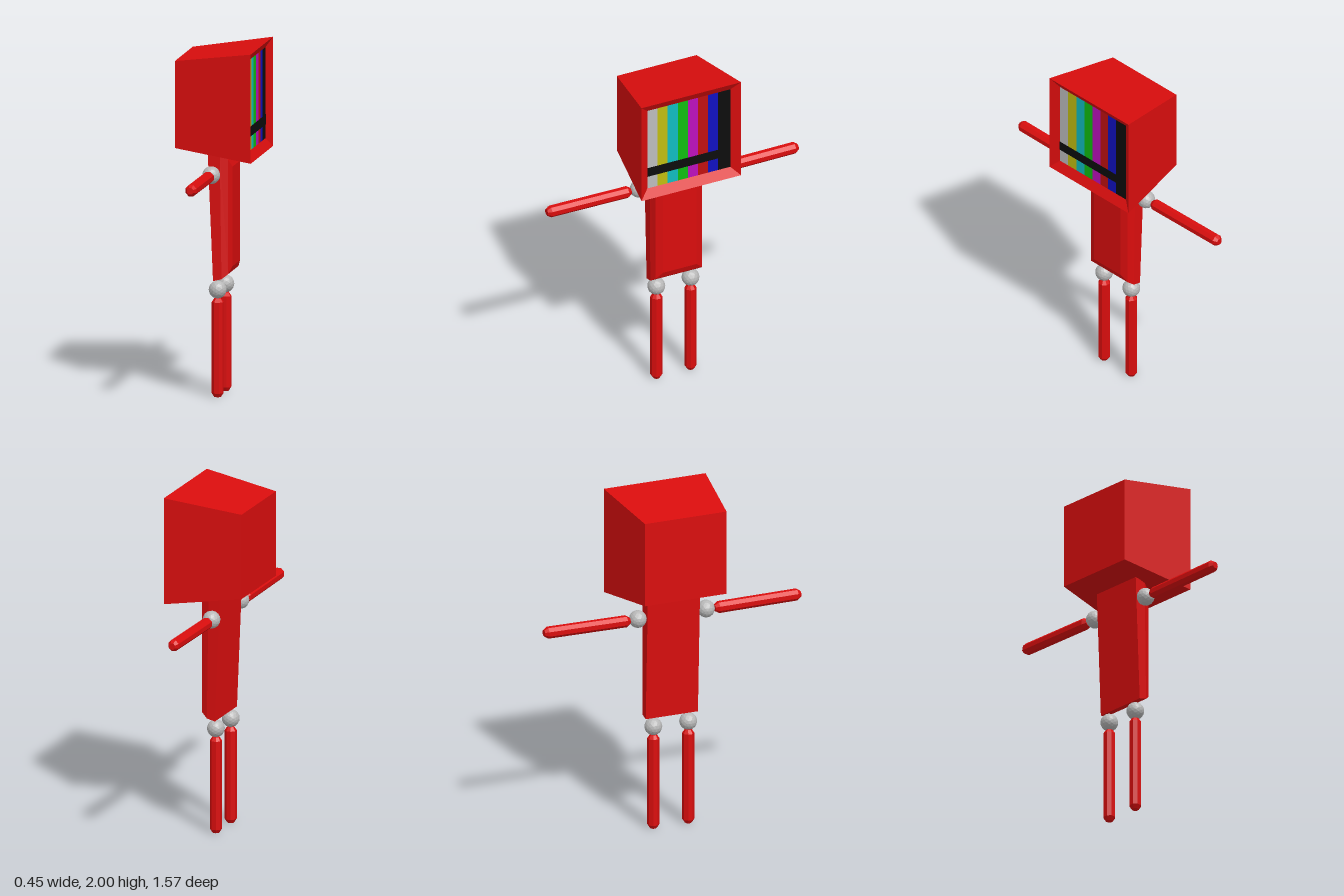
import * as THREE from 'three';

const paint = (name, color) => {
  const m = new THREE.MeshStandardMaterial({ color, flatShading: true });
  m.name = name;
  return m;
};

// Skin over four-cornered rings [xBottom, yBottom, xTop, yTop, halfWidth], ordered along the path
function loft(rings, capEnd) {
  const loops = rings.map(([xb, yb, xt, yt, w]) => [[xb, yb, w], [xb, yb, -w], [xt, yt, -w], [xt, yt, w]]);
  const pos = [];
  const quad = (a, b, c, d) => pos.push(...a, ...b, ...c, ...a, ...c, ...d);
  for (let i = 0; i < loops.length - 1; i++) {
    for (let k = 0; k < 4; k++) {
      const n = (k + 1) % 4;
      quad(loops[i][k], loops[i][n], loops[i + 1][n], loops[i + 1][k]);
    }
  }
  const s = loops[0];
  quad(s[3], s[2], s[1], s[0]);
  if (capEnd) quad(...loops[loops.length - 1]);
  const g = new THREE.BufferGeometry();
  g.setAttribute('position', new THREE.Float32BufferAttribute(pos, 3));
  g.computeVertexNormals();
  return g;
}

// Eight-sided rod with chamfered ends, centred on its own middle
function rod(length) {
  const h = length / 2, r = 0.0345;
  const profile = [[0, -h], [0.02, -h], [r, -h + 0.022], [r, h - 0.022], [0.02, h], [0, h]]
    .map(([x, y]) => new THREE.Vector2(x, y));
  return new THREE.LatheGeometry(profile, 8, Math.PI / 8);
}

export function createModel() {
  const model = new THREE.Group();
  const red = paint('body red', 0xd90d0d);
  const silver = paint('joint silver', 0xb8b8b8);
  const black = paint('screen black', 0x0c0c0c);

  const add = (name, geometry, material, x = 0, y = 0, z = 0) => {
    const mesh = new THREE.Mesh(geometry, material);
    mesh.name = name;
    mesh.position.set(x, y, z);
    model.add(mesh);
    return mesh;
  };

  // Flared head with a bevelled recess for the screen
  add('head', loft([
    [-0.225, 1.44, -0.225, 1.938, 0.25],
    [0.225, 1.375, 0.225, 2.0, 0.312],
    [0.192, 1.427, 0.192, 1.948, 0.26],
  ], false), red);

  // Screen colour bars, from the model's left to right
  const bars = [
    paint('bar grey', 0xbcbcbc), paint('bar yellow', 0xc0bc10), paint('bar cyan', 0x10bcc0),
    paint('bar green', 0x10bc10), paint('bar magenta', 0xbc10bc), paint('bar crimson', 0xc01010),
    paint('bar blue', 0x1010c0), black,
  ];
  const edges = [0.26, 0.196, 0.132, 0.069, 0.005, -0.058, -0.12, -0.182, -0.26];
  const panel = (name, material, x, y0, y1, z0, z1) => {
    const g = new THREE.PlaneGeometry(z0 - z1, y1 - y0);
    g.rotateY(Math.PI / 2);
    add(name, g, material, x, (y0 + y1) / 2, (z0 + z1) / 2);
  };
  bars.forEach((m, i) => panel('screenBar' + (i + 1), m, 0.192, 1.427, 1.948, edges[i], edges[i + 1]));
  panel('screenBand', black, 0.195, 1.507, 1.565, 0.26, -0.26);

  // Torso: flat back, rounded chest
  add('torso', loft([
    [-0.024, 0.67, -0.055, 1.42, 0.16],
    [0.025, 0.682, 0.015, 1.40, 0.16],
    [0.06, 0.71, 0.06, 1.365, 0.145],
    [0.077, 0.75, 0.077, 1.32, 0.105],
  ], true), red);

  // Limbs and ball joints on both sides
  const ball = new THREE.IcosahedronGeometry(0.051, 2);
  const legRod = rod(0.565);
  const armRod = rod(0.525);
  for (const [side, s] of [['left', -1], ['right', 1]]) {
    add(side + 'Shoulder', ball, silver, -0.024, 1.285, s * 0.209);
    add(side + 'Hip', ball, silver, -0.008, 0.614, s * 0.107);
    add(side + 'Leg', legRod, red, -0.008, 0.2825, s * 0.107);
    const arm = add(side + 'Arm', armRod, red, -0.026, 1.285, s * 0.523);
    arm.rotation.x = s * (Math.PI / 2 - 0.008);
  }
  return model;
}
